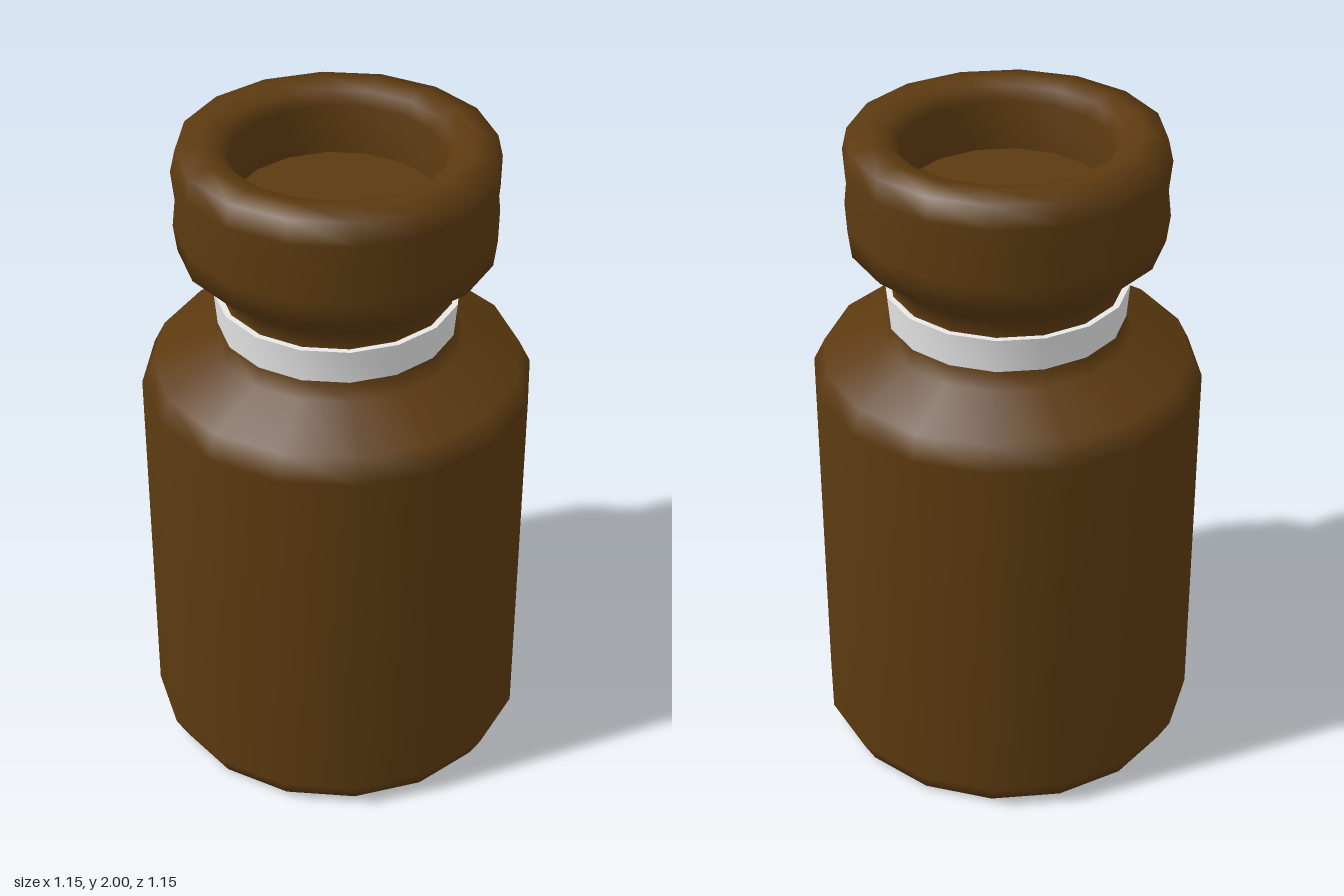
import * as THREE from 'three';
import { toCreasedNormals } from 'three/addons/utils/BufferGeometryUtils.js';

const SIDES = 16;
const TWIST = THREE.MathUtils.degToRad(5.2);

// Revolves [radius, height] pairs, listed upwards along the outside
function lathe(profile) {
  const points = profile.map(([r, y]) => new THREE.Vector2(r, y));
  return new THREE.LatheGeometry(points, SIDES, TWIST);
}

export function createModel() {
  const brown = new THREE.MeshStandardMaterial({ name: 'brown', color: 0x5c3a10 });
  const white = new THREE.MeshStandardMaterial({ name: 'white', color: 0xe8e8e8 });
  const group = new THREE.Group();
  group.name = 'bottle';

  const add = (name, geometry, material) => {
    const mesh = new THREE.Mesh(geometry, material);
    mesh.name = name;
    group.add(mesh);
    return mesh;
  };

  // Rounded base, straight wall, shoulder and neck
  add('body', lathe([
    [0, 0], [0.3, 0], [0.54, 0.012], [0.577, 0.08],
    [0.577, 1.23], [0.542, 1.3], [0.37, 1.37], [0.345, 1.42], [0.33, 1.52],
  ]), brown);

  // Flared mouth with a rolled lip and a recess
  add('mouth', lathe([
    [0.33, 1.52], [0.332, 1.57], [0.455, 1.67], [0.465, 1.75], [0.456, 1.83],
    [0.465, 1.92], [0.45, 1.985], [0.385, 2], [0.33, 1.985], [0.302, 1.95], [0.3, 1.8],
  ]), brown);

  // Flat floor of the recess
  add('recessFloor', lathe([[0.3, 1.8], [0, 1.8]]), brown);

  // Thin band around the neck
  const band = lathe([
    [0.335, 1.42], [0.349, 1.42], [0.358, 1.525], [0.34, 1.525], [0.335, 1.42],
  ]);
  add('neckBand', toCreasedNormals(band, 0.6), white);

  return group;
}
